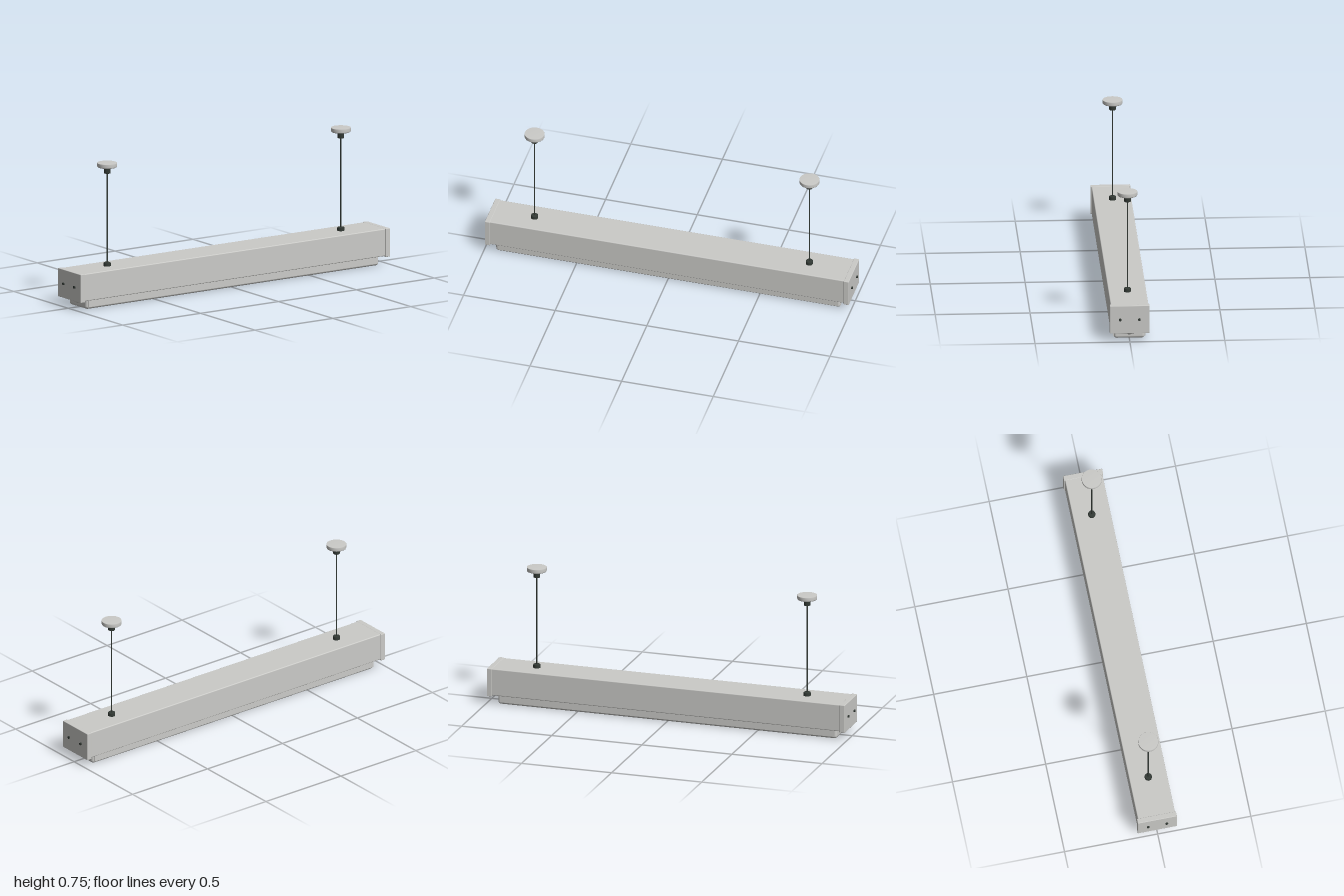
import * as THREE from 'three';
import { RoundedBoxGeometry } from 'three/addons/geometries/RoundedBoxGeometry.js';

const makeMaterial = (name, color) => {
  const m = new THREE.MeshStandardMaterial({ color });
  m.name = name;
  return m;
};

export function createModel() {
  const root = new THREE.Group();
  root.name = 'linearPendantLight';
  const grey = makeMaterial('lightGrey', 0xcbcbc8);
  const dark = makeMaterial('darkFittings', 0x333a35);

  const add = (name, geometry, material, x = 0, y = 0, z = 0, parent = root) => {
    const mesh = new THREE.Mesh(geometry, material);
    mesh.name = name;
    mesh.position.set(x, y, z);
    parent.add(mesh);
    return mesh;
  };
  const lathe = (points, segments = 40) =>
    new THREE.LatheGeometry(points.map(([r, y]) => new THREE.Vector2(r, y)), segments);

  // Long body and the shallow diffuser under it
  add('housing', new RoundedBoxGeometry(1.95, 0.147, 0.2, 3, 0.005), grey, 0, 0.1235, 0);
  add('diffuser', new RoundedBoxGeometry(1.88, 0.064, 0.164, 4, 0.015), grey, 0, 0.032, 0);

  // Rails holding the diffuser along both long sides
  for (const s of [1, -1]) {
    add('diffuserRail', new THREE.BoxGeometry(1.86, 0.04, 0.01), grey, 0, 0.032, s * 0.08);
  }

  // Hanger: ceiling canopy, cable grips and cable
  const canopy = lathe([
    [0.017, 0.735], [0.041, 0.735], [0.042, 0.729], [0.047, 0.729], [0.051, 0.731],
    [0.053, 0.735], [0.053, 0.751], [0.052, 0.753], [0, 0.753],
  ]);
  const upperGrip = lathe([
    [0, 0.696], [0.016, 0.696], [0.018, 0.698], [0.018, 0.73], [0.018, 0.737],
  ], 24);
  const lowerGrip = lathe([[0.019, 0.19], [0.019, 0.213], [0.017, 0.216], [0, 0.216]], 24);
  const cable = new THREE.CylinderGeometry(0.0035, 0.0035, 0.49, 12);

  // End caps with screws and a round diffuser latch
  const cap = new RoundedBoxGeometry(0.028, 0.153, 0.21, 3, 0.003);
  const screw = new THREE.CylinderGeometry(0.007, 0.007, 0.012, 20).rotateZ(Math.PI / 2);
  const latch = new THREE.SphereGeometry(0.016, 24, 16);

  for (const s of [1, -1]) {
    const side = s > 0 ? 'left' : 'right';
    const hanger = new THREE.Group();
    hanger.name = side + 'Hanger';
    hanger.position.x = s * 0.75;
    root.add(hanger);
    add('canopy', canopy, grey, 0, 0, 0, hanger);
    add('upperGrip', upperGrip, dark, 0, 0, 0, hanger);
    add('lowerGrip', lowerGrip, dark, 0, 0, 0, hanger);
    add('cable', cable, dark, 0, 0.455, 0, hanger);

    const end = new THREE.Group();
    end.name = side + 'End';
    root.add(end);
    add('endCap', cap, grey, s * 0.979, 0.1215, 0, end);
    add('latch', latch, grey, s * 0.937, 0.037, 0, end);
    for (const z of [0.05, -0.05]) add('screw', screw, dark, s * 0.994, 0.122, z, end);
  }
  return root;
}
